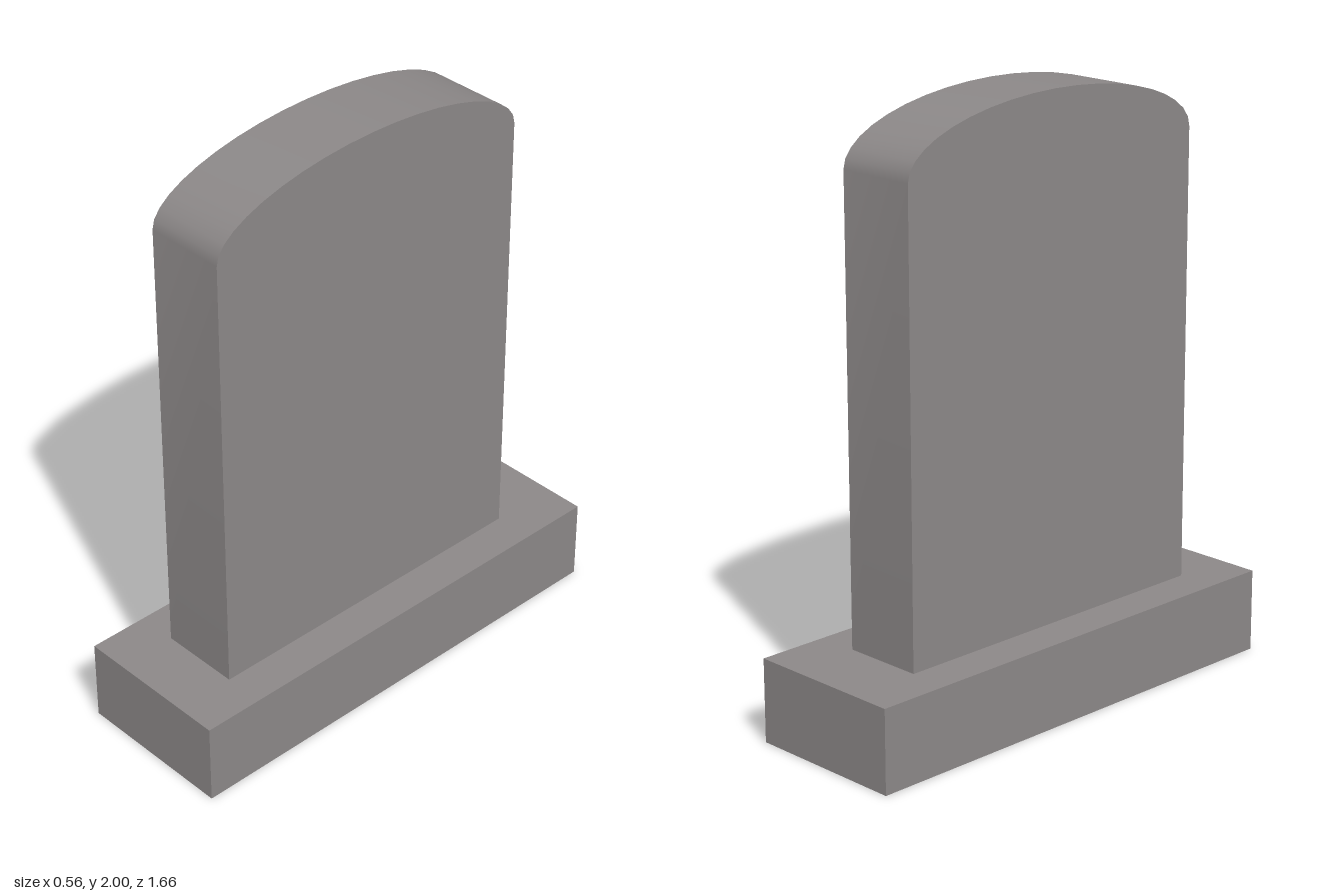
import * as THREE from 'three';
import { toCreasedNormals } from 'three/addons/utils/BufferGeometryUtils.js';

export function createModel() {
  const group = new THREE.Group();
  group.name = 'gravestone';
  const stone = new THREE.MeshStandardMaterial({ color: 0x8b8787 });
  stone.name = 'grey stone';

  // Plinth
  const plinthHeight = 0.28;
  const plinth = new THREE.Mesh(new THREE.BoxGeometry(0.555, plinthHeight, 1.66), stone);
  plinth.name = 'plinth';
  plinth.position.y = plinthHeight / 2;
  group.add(plinth);

  // Upright slab: straight sides under a half-ellipse top, set slightly forward
  const thickness = 0.28, halfWidth = 0.607, shoulder = 1.8, rise = 0.2;
  const outline = new THREE.Shape();
  outline.moveTo(-halfWidth, plinthHeight - 0.01);
  outline.lineTo(halfWidth, plinthHeight - 0.01);
  outline.lineTo(halfWidth, shoulder);
  outline.absellipse(0, shoulder, halfWidth, rise, 0, Math.PI, false);
  const slabGeometry = new THREE.ExtrudeGeometry(outline, {
    depth: thickness, bevelEnabled: false, curveSegments: 10,
  });
  slabGeometry.translate(0, 0, -thickness / 2);
  slabGeometry.rotateY(-Math.PI / 2);
  const slab = new THREE.Mesh(toCreasedNormals(slabGeometry, 0.75), stone);
  slab.name = 'slab';
  slab.position.z = 0.02;
  group.add(slab);

  return group;
}
